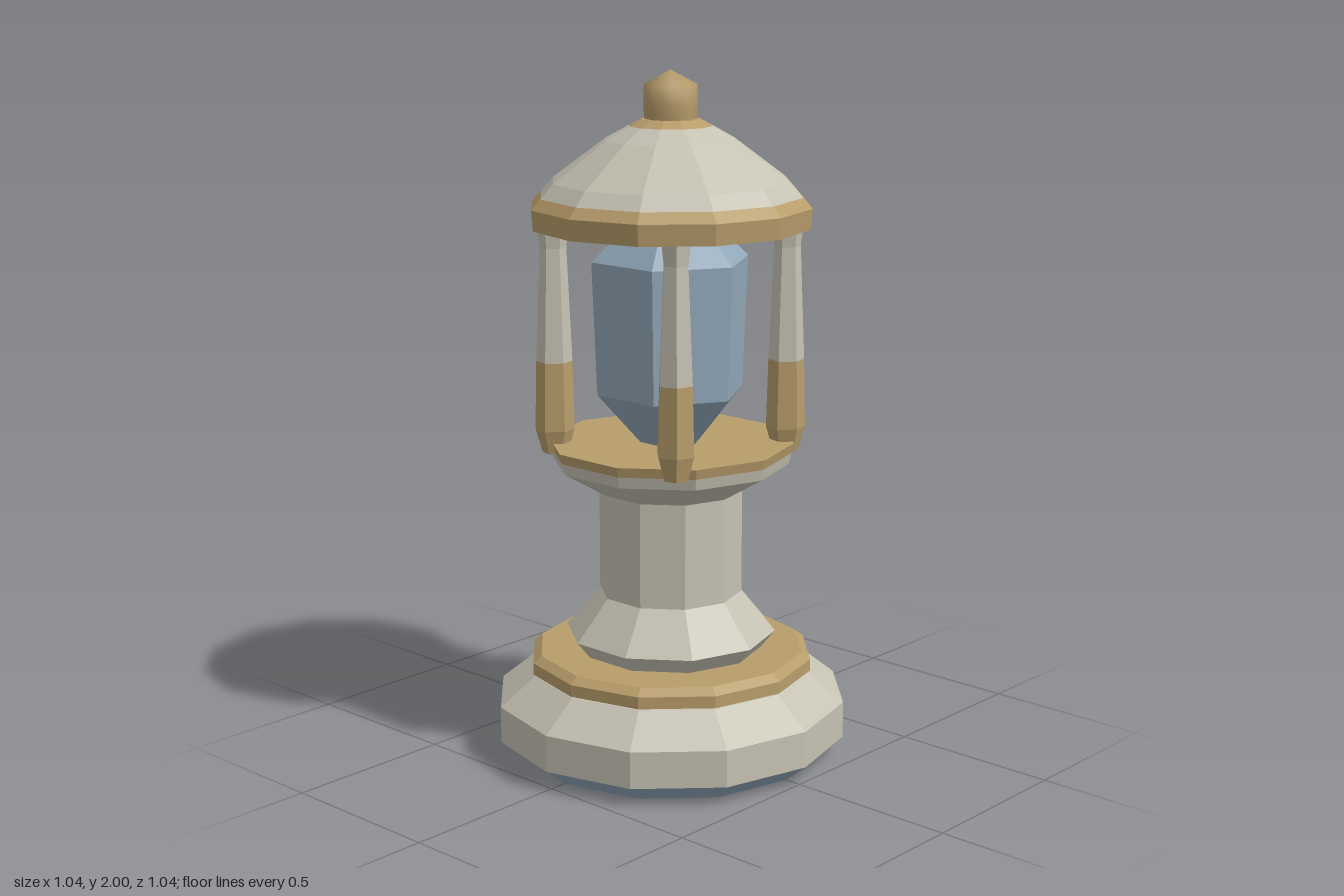
import * as THREE from 'three';
import { toCreasedNormals } from 'three/addons/utils/BufferGeometryUtils.js';

const paint = (name, color) => {
  const m = new THREE.MeshStandardMaterial({ color });
  m.name = name;
  return m;
};

export function createModel() {
  const stone = paint('pale stone', 0xc6c2b3);
  const gold = paint('muted gold', 0xb89d6b);
  const blue = paint('slate blue', 0x92a8b9);

  const model = new THREE.Group();
  model.name = 'stoneLantern';

  // Faceted turned part: profile of [radius, y] from bottom to top
  function turned(name, material, sides, profile, parent = model, crease = 0.05) {
    const pts = profile.map(([r, y]) => new THREE.Vector2(r, y));
    // A vertex always lies on the x axis
    const geo = new THREE.LatheGeometry(pts, sides, Math.PI / 2);
    const mesh = new THREE.Mesh(toCreasedNormals(geo, crease), material);
    mesh.name = name;
    parent.add(mesh);
    return mesh;
  }

  // Base
  turned('baseUnderside', blue, 12, [[0, 0], [0.45, 0], [0.52, 0.057]]);
  turned('baseBlock', stone, 12, [[0.52, 0.057], [0.52, 0.165], [0.415, 0.25], [0, 0.25]]);
  turned('baseRing', gold, 12, [[0.4, 0.248], [0.42, 0.255], [0.42, 0.29], [0.395, 0.31], [0, 0.31]]);

  // Column with flared foot and head
  turned('column', stone, 10, [
    [0.27, 0.31], [0.31, 0.36], [0.21, 0.48], [0.21, 0.79], [0.345, 0.87], [0.353, 0.903],
  ]);
  turned('lampPlate', gold, 10, [[0.353, 0.903], [0.36, 0.932], [0, 0.932]]);

  // Glass crystal
  turned('glass', blue, 6, [
    [0, 0.925], [0.09, 0.93], [0.22, 1.08], [0.235, 1.465], [0.13, 1.565], [0.08, 1.61], [0, 1.61],
  ]);

  // Four corner posts with gold feet
  for (let i = 0; i < 4; i++) {
    const post = new THREE.Group();
    post.name = 'post' + (i + 1);
    const angle = Math.PI / 4 + (i * Math.PI) / 2;
    post.position.set(0.335 * Math.cos(angle), 0, 0.335 * Math.sin(angle));
    post.rotation.y = -angle;
    turned('postFoot', gold, 6, [[0, 0.9], [0.037, 0.9], [0.057, 0.97], [0.052, 1.17]], post);
    turned('postShaft', stone, 6, [[0.052, 1.17], [0.038, 1.5], [0.046, 1.57]], post);
    model.add(post);
  }

  // Roof
  turned('roofRim', gold, 12, [[0, 1.56], [0.403, 1.56], [0.408, 1.62], [0.381, 1.65]]);
  turned('roofDome', stone, 12, [[0.381, 1.65], [0.345, 1.69], [0.19, 1.805], [0.12, 1.844]]);
  turned('roofCollar', gold, 12, [[0.12, 1.844], [0.085, 1.863], [0, 1.863]]);

  // Rounded finial
  turned('finial', gold, 8, [[0.073, 1.855], [0.077, 1.9], [0.075, 1.96], [0, 2]], model, 1.2);

  return model;
}
